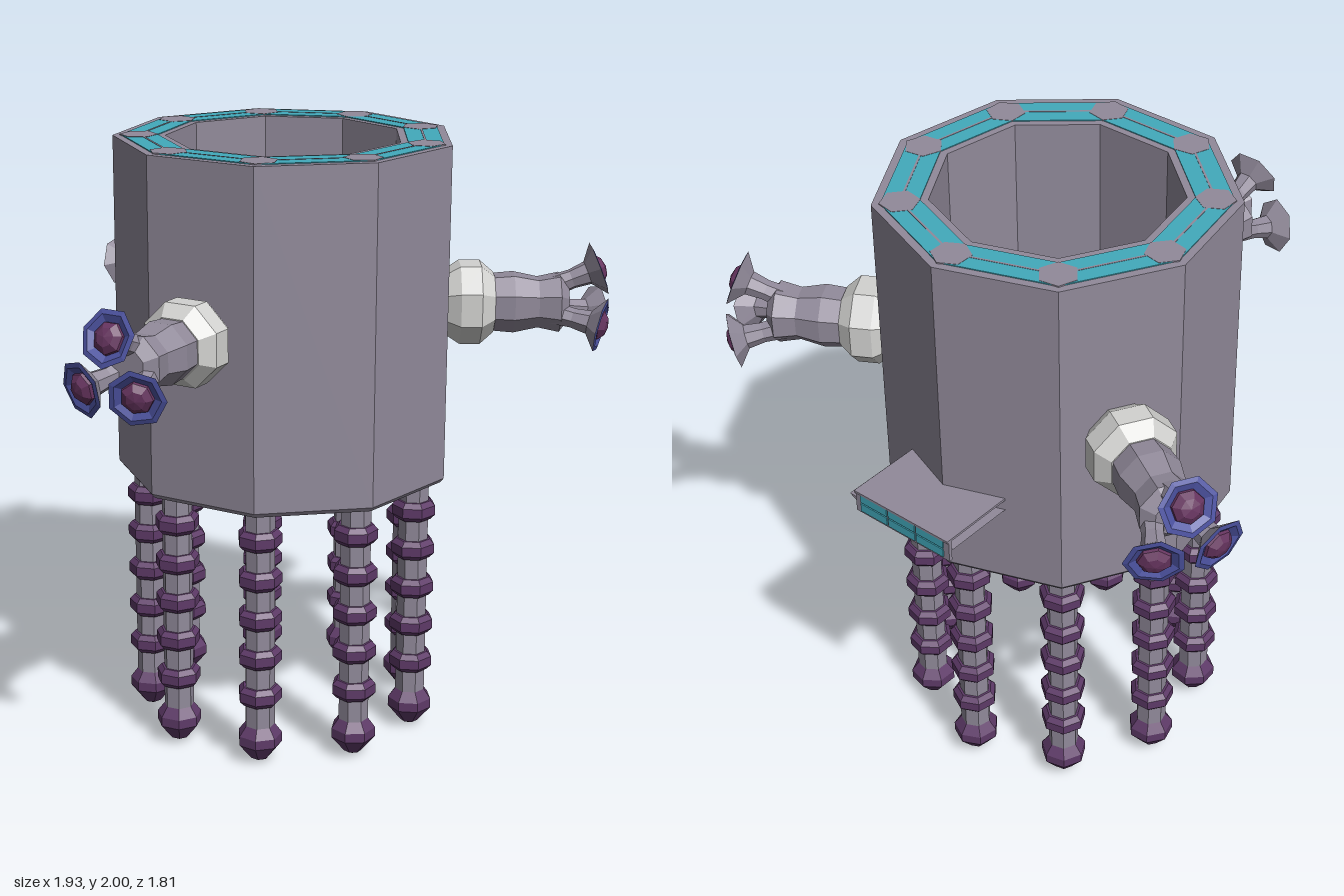
import * as THREE from 'three';

const mat = (name, color) => {
  const m = new THREE.MeshStandardMaterial({ color });
  m.name = name;
  return m;
};
const CZ = -0.153; // axis of the nine-sided drum

// Faceted normals baked into the geometry
const flat = (g) => {
  const f = g.index ? g.toNonIndexed() : g;
  f.computeVertexNormals();
  return f;
};
const turned = (pts, sides, start = 0) =>
  flat(new THREE.LatheGeometry(pts.map(([r, y]) => new THREE.Vector2(r, y)), sides, start));

export function createModel() {
  const grey = mat('hull grey', 0x918a9a);
  const teal = mat('panel teal', 0x42aabc);
  const pale = mat('joint pale grey', 0xd2d2d0);
  const plum = mat('segment plum', 0x5e3a68);
  const blue = mat('dish blue', 0x4c52a0);
  const wine = mat('eye wine', 0x66345f);

  const root = new THREE.Group();
  root.name = 'station';
  const add = (parent, name, geo, material, x = 0, y = 0, z = 0) => {
    const m = new THREE.Mesh(geo, material);
    m.name = name;
    m.position.set(x, y, z);
    parent.add(m);
    return m;
  };

  // Hollow drum
  const drum = new THREE.Group();
  drum.name = 'drum';
  drum.position.z = CZ;
  root.add(drum);
  add(drum, 'drumWall', turned([[0.545, 0.88], [0.557, 0.895], [0.557, 1.994], [0.387, 1.994],
    [0.387, 0.895], [0.4, 0.88], [0.545, 0.88]], 9, Math.PI), grey);

  // Panel rings with nodes and seams on both ends
  const ring = turned([[0.53, -0.002], [0.53, 0.002], [0.412, 0.002], [0.412, -0.002], [0.53, -0.002]], 9, Math.PI);
  const node = flat(new THREE.CylinderGeometry(0.062, 0.062, 0.006, 6));
  const seam = new THREE.BoxGeometry(0.32, 0.006, 0.007);
  for (const [label, y] of [['top', 1.995], ['bottom', 0.879]]) {
    add(drum, label + 'PanelRing', ring, teal, 0, y, 0);
    for (let k = 0; k < 9; k++) {
      const a = Math.PI + (k * Math.PI * 2) / 9;
      const n = add(drum, label + 'Node', node, grey, 0.472 * Math.sin(a), y, 0.472 * Math.cos(a));
      n.rotation.y = a;
      const b = a + Math.PI / 9;
      const s = add(drum, label + 'Seam', seam, grey, 0.443 * Math.sin(b), y, 0.443 * Math.cos(b));
      s.rotation.y = b;
    }
  }

  // Segmented tentacles hanging under each drum corner
  const shaft = flat(new THREE.CylinderGeometry(0.05, 0.05, 0.8, 7));
  const band = turned([[0.04, -0.032], [0.058, -0.032], [0.073, -0.016], [0.073, 0.016], [0.058, 0.032], [0.04, 0.032]], 7);
  const tip = turned([[0, 0], [0.03, 0.014], [0.074, 0.068], [0.074, 0.1], [0.05, 0.132], [0, 0.132]], 7);
  for (let k = 0; k < 9; k++) {
    const a = Math.PI + (k * Math.PI * 2) / 9;
    const t = new THREE.Group();
    t.name = 'tentacle';
    t.position.set(0.457 * Math.sin(a), 0, 0.457 * Math.cos(a));
    t.rotation.y = a;
    add(t, 'tentacleShaft', shaft, grey, 0, 0.49, 0);
    for (let i = 0; i < 5; i++) add(t, 'tentacleBand', band, plum, 0, 0.24 + 0.135 * i, 0);
    add(t, 'tentacleTip', tip, plum);
    drum.add(t);
  }

  // Three arms, each ending in three eye stalks
  const alongZ = (g) => g.rotateX(Math.PI / 2);
  const joint = alongZ(turned([[0, 0.5], [0.105, 0.52], [0.14, 0.572], [0.14, 0.64], [0.1, 0.685], [0, 0.685]], 8, Math.PI / 8));
  const limb = alongZ(turned([[0, 0.67], [0.095, 0.67], [0.102, 0.75], [0.085, 0.83], [0.1, 0.9], [0.06, 0.93], [0, 0.93]], 8, Math.PI / 8));
  const stalk = alongZ(turned([[0, -0.03], [0.04, -0.03], [0.033, 0.06], [0.04, 0.115], [0.092, 0.155]], 7));
  const dish = alongZ(turned([[0.092, 0.155], [0.075, 0.158], [0.045, 0.142], [0, 0.142]], 7));
  const eye = alongZ(turned([[0.053, 0.14], [0.05, 0.155], [0.03, 0.172], [0, 0.178]], 7));
  for (let k = 0; k < 3; k++) {
    const arm = new THREE.Group();
    arm.name = 'arm';
    arm.position.y = 1.445;
    arm.rotation.y = (k * Math.PI * 2) / 3;
    add(arm, 'armJoint', joint, pale);
    add(arm, 'armLimb', limb, grey);
    for (let i = 0; i < 3; i++) {
      const spin = new THREE.Group();
      spin.name = 'eyeStalk';
      spin.rotation.z = (i * Math.PI * 2) / 3;
      const lean = new THREE.Group();
      lean.position.set(0, 0.055, 0.885);
      lean.rotation.x = -0.38;
      add(lean, 'stalk', stalk, grey);
      add(lean, 'eyeDish', dish, blue);
      add(lean, 'eye', eye, wine);
      spin.add(lean);
      arm.add(spin);
    }
    drum.add(arm);
  }

  // Docking deck through the drum: thin roof, chamfered floor, panelled end
  const deck = new THREE.Group();
  deck.name = 'dockingDeck';
  root.add(deck);
  add(deck, 'deckRoof', new THREE.BoxGeometry(0.38, 0.008, 1.15), grey, 0, 1.2, -0.325);
  const section = new THREE.Shape([[-0.19, 1.16], [-0.13, 1.125], [0.17, 1.125], [0.23, 1.16]]
    .map(([x, y]) => new THREE.Vector2(x, y)));
  add(deck, 'deckFloor', flat(new THREE.ExtrudeGeometry(section, { depth: 1.13, bevelEnabled: false })), grey, 0, 0, -0.88);
  add(deck, 'deckEndFrame', new THREE.BoxGeometry(0.38, 0.08, 0.012), grey, 0, 1.164, -0.888);
  for (let i = 0; i < 3; i++) {
    for (const y of [1.147, 1.181]) {
      add(deck, 'deckEndPanel', new THREE.BoxGeometry(0.108, 0.029, 0.006), teal, (i - 1) * 0.114, y, -0.895);
    }
  }

  // Pale domes standing on the deck
  const collar = flat(new THREE.CylinderGeometry(0.085, 0.05, 0.06, 8));
  const dome = turned([[0.06, 0], [0.056, 0.03], [0.035, 0.058], [0, 0.07]], 7);
  for (const [x, z] of [[-0.1, -0.21], [0.1, -0.21], [0, -0.04]]) {
    add(deck, 'domeCollar', collar, grey, x, 1.234, z);
    add(deck, 'dome', dome, pale, x, 1.264, z);
  }

  // Blue bowl under the deck
  add(drum, 'coreBowl', turned([[0, 0.98], [0.12, 0.98], [0.14, 0.95], [0.22, 0.95], [0.285, 1.02], [0.2, 1.12], [0, 1.12]], 9), blue);

  return root;
}
